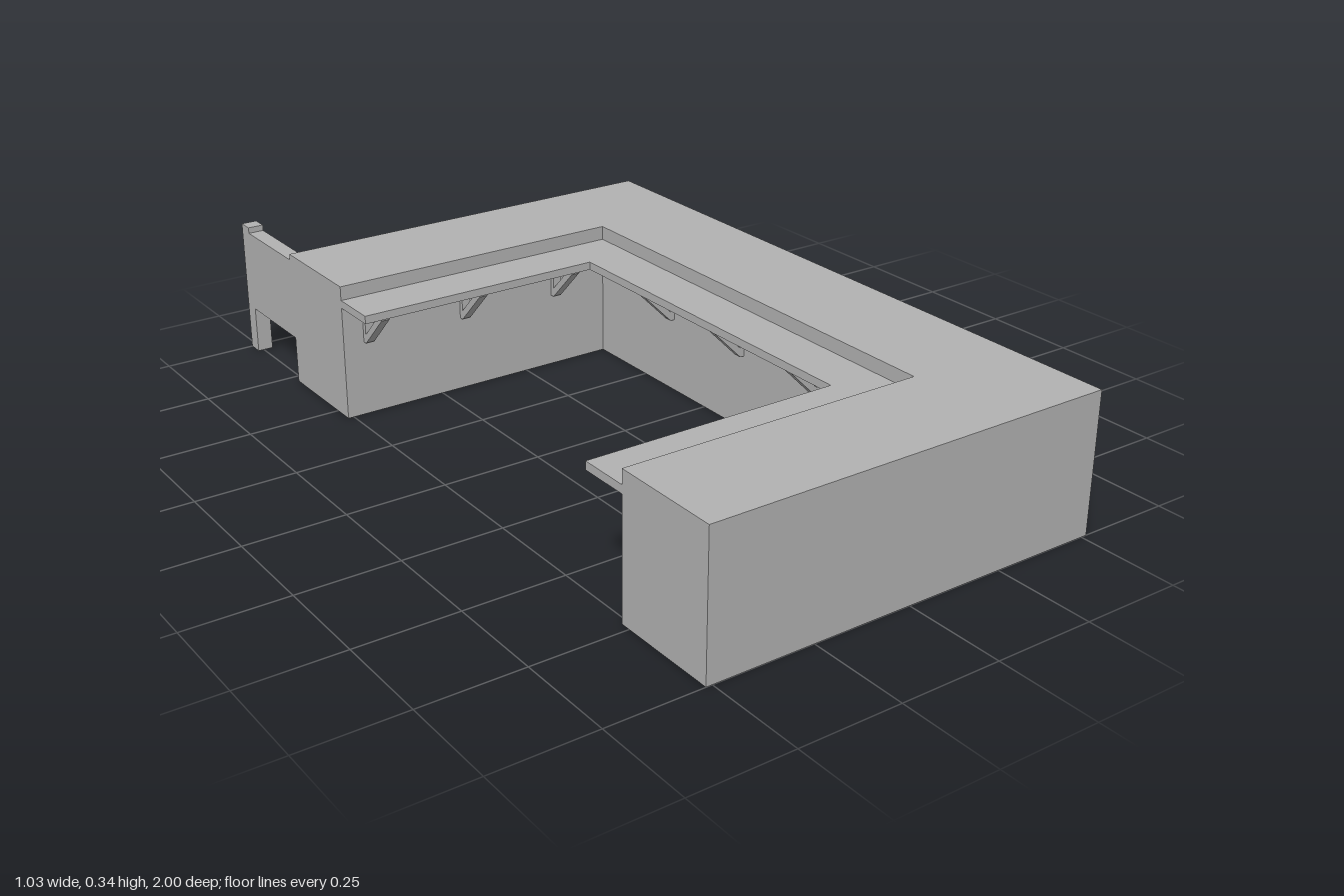
import * as THREE from 'three';

const H = 0.345; // counter height
const grey = new THREE.MeshStandardMaterial({ color: 0xb2b2b2, side: THREE.DoubleSide });
grey.name = 'plain grey';

function add(parent, name, geometry, x = 0, y = 0, z = 0) {
  const mesh = new THREE.Mesh(geometry, grey);
  mesh.name = name;
  mesh.position.set(x, y, z);
  parent.add(mesh);
  return mesh;
}

// U-shaped outline in plan, as [x, z] pairs: open towards -x
function uOutline(outerX, z0, z1, innerX, i0, i1, endX = -0.515) {
  return [[endX, z1], [outerX, z1], [outerX, z0], [endX, z0],
    [endX, i0], [innerX, i0], [innerX, i1], [endX, i1]];
}

const planShape = (pts) => new THREE.Shape(pts.map(([x, z]) => new THREE.Vector2(x, -z)));

// Angled bracket: wall bar, bar under the shelf and diagonal strut; local +z leaves the wall
function makeBracket() {
  const g = new THREE.Group();
  g.name = 'shelfBracket';
  const w = 0.022, t = 0.012, size = 0.1;
  add(g, 'bracketWallBar', new THREE.BoxGeometry(w, size, t), 0, -size / 2, t / 2);
  add(g, 'bracketTopBar', new THREE.BoxGeometry(w, t, size), 0, -t / 2, size / 2);
  const strut = add(g, 'bracketStrut', new THREE.BoxGeometry(w, 0.12, 0.016), 0, -0.05, 0.05);
  strut.rotation.x = Math.PI / 4;
  return g;
}

export function createModel() {
  const model = new THREE.Group();
  model.name = 'counter';

  // Hollow counter, open underneath: thin walls and a flat top
  const body = new THREE.Group();
  body.name = 'counterBody';
  model.add(body);
  const outline = uOutline(0.515, -0.72, 1, 0.24, -0.445, 0.725);
  outline.forEach(([ax, az], i) => {
    const [bx, bz] = outline[(i + 1) % outline.length];
    const wall = add(body, 'counterWall', new THREE.PlaneGeometry(Math.hypot(bx - ax, bz - az), H),
      (ax + bx) / 2, H / 2, (az + bz) / 2);
    wall.rotation.y = Math.atan2(az - bz, bx - ax);
  });
  add(body, 'counterTop', new THREE.ShapeGeometry(planShape(outline)).rotateX(-Math.PI / 2), 0, H, 0);

  // Lower shelf along the inside of the counter
  const shelf = planShape(uOutline(0.24, -0.445, 0.725, 0.118, -0.323, 0.6));
  const shelfGeo = new THREE.ExtrudeGeometry(shelf, { depth: 0.02, bevelEnabled: false });
  add(model, 'innerShelf', shelfGeo.rotateX(-Math.PI / 2), 0, 0.29, 0);

  // Brackets on the three inner walls: [x, z, turn]
  const places = [];
  for (const x of [-0.45, -0.18, 0.09]) places.push([x, -0.445, 0], [x, 0.725, Math.PI]);
  for (const z of [-0.14, 0.14, 0.42]) places.push([0.24, z, -Math.PI / 2]);
  for (const [x, z, turn] of places) {
    const bracket = makeBracket();
    bracket.position.set(x, 0.29, z);
    bracket.rotation.y = turn;
    model.add(bracket);
  }

  // Raised panel and end post at the back
  add(model, 'sidePanel', new THREE.BoxGeometry(0.04, 0.21, 0.24), -0.495, 0.225, -0.84);
  add(model, 'endPost', new THREE.BoxGeometry(0.04, H, 0.04), -0.495, H / 2, -0.98);

  return model;
}
